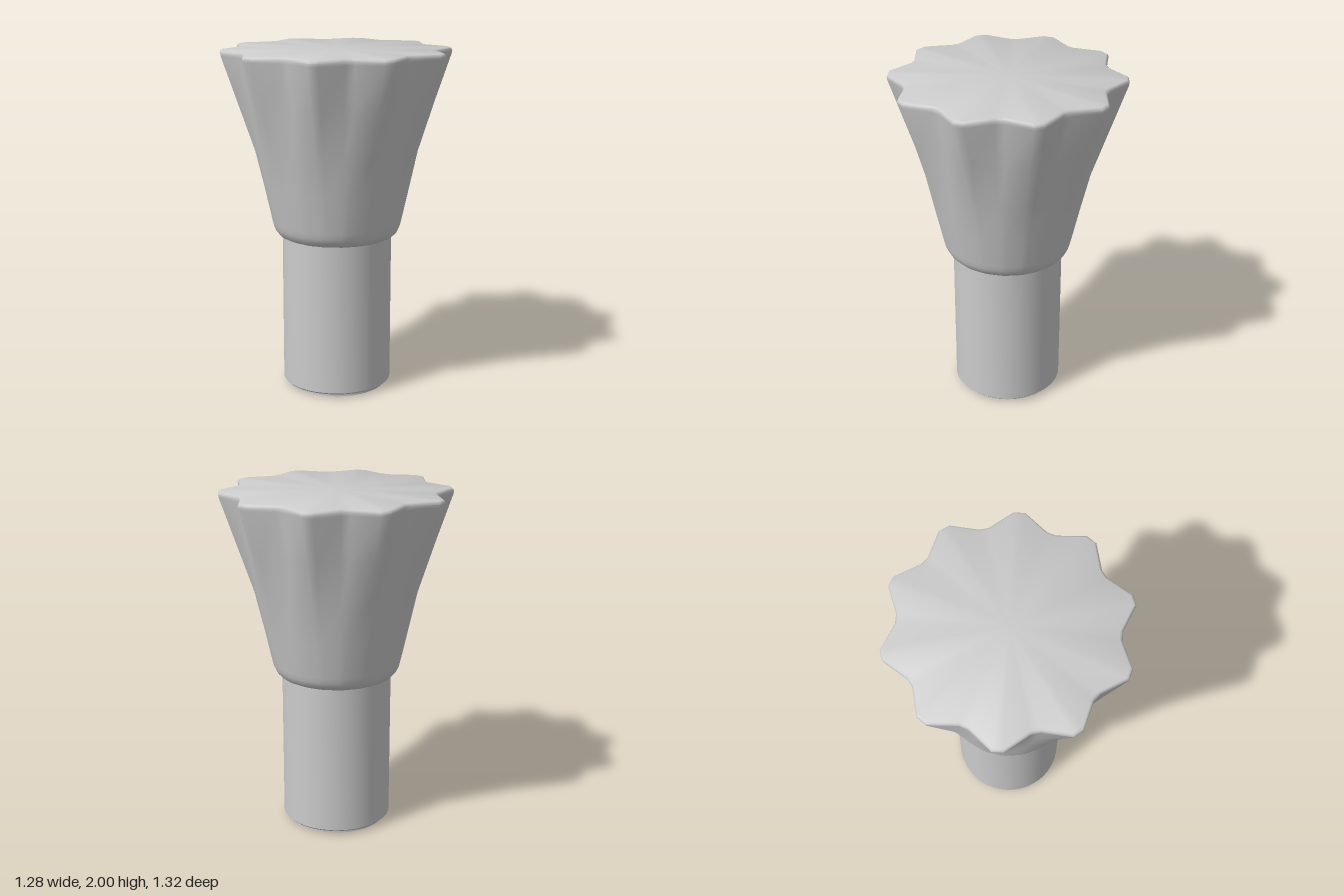
import * as THREE from 'three';
import { toCreasedNormals } from 'three/addons/utils/BufferGeometryUtils.js';

const LOBES = 10;
const material = new THREE.MeshStandardMaterial({ color: 0xcccccc });

// Fluted grip: rings of [height, valley radius, peak radius]; each lobe has a flat peak and a flat valley
function flutedGeometry(rings) {
  const step = (Math.PI * 2) / LOBES;
  const flat = THREE.MathUtils.degToRad(2.6);
  const n = LOBES * 4;
  const pos = [];
  const index = [];
  for (const [y, valley, peak] of rings) {
    for (let i = 0; i < LOBES; i++) {
      const a = i * step;
      const corners = [[a - flat, peak], [a + flat, peak],
        [a + step / 2 - flat, valley], [a + step / 2 + flat, valley]];
      for (const [t, r] of corners) pos.push(r * Math.sin(t), y, r * Math.cos(t));
    }
  }
  for (let k = 0; k < rings.length - 1; k++) {
    for (let i = 0; i < n; i++) {
      const a = k * n + i;
      const b = k * n + (i + 1) % n;
      index.push(a, b, b + n, a, b + n, a + n);
    }
  }
  // Closing faces, top and bottom
  const top = (rings.length - 1) * n;
  const centre = pos.length / 3;
  pos.push(0, rings[rings.length - 1][0], 0, 0, rings[0][0], 0);
  for (let i = 0; i < n; i++) {
    const j = (i + 1) % n;
    index.push(top + i, top + j, centre, j, i, centre + 1);
  }
  const geometry = new THREE.BufferGeometry();
  geometry.setAttribute('position', new THREE.Float32BufferAttribute(pos, 3));
  geometry.setIndex(index);
  return toCreasedNormals(geometry, 0.8);
}

function addMesh(group, name, geometry) {
  const mesh = new THREE.Mesh(geometry, material);
  mesh.name = name;
  group.add(mesh);
}

export function createModel() {
  const group = new THREE.Group();
  group.name = 'flutedKnob';

  // Grip: rounded underside, plain cone, flutes opening toward the top, softened rim
  addMesh(group, 'grip', flutedGeometry([
    [0.91, 0.315, 0.315],
    [0.922, 0.34, 0.34],
    [0.942, 0.358, 0.358],
    [0.968, 0.37, 0.37],
    [1.0, 0.378, 0.378],
    [1.2, 0.422, 0.422],
    [1.42, 0.469, 0.474],
    [1.7, 0.524, 0.569],
    [1.965, 0.576, 0.659],
    [1.982, 0.579, 0.662],
    [1.995, 0.573, 0.656],
    [2.0, 0.563, 0.645],
  ]));

  // Stem with chamfered lower edge and a slightly narrower foot
  const profile = [[0, 0], [0.29, 0], [0.29, 0.02], [0.31, 0.02], [0.32, 0.03], [0.32, 0.93]]
    .map(([r, y]) => new THREE.Vector2(r, y));
  addMesh(group, 'stem', toCreasedNormals(new THREE.LatheGeometry(profile, 64), 0.5));

  return group;
}
